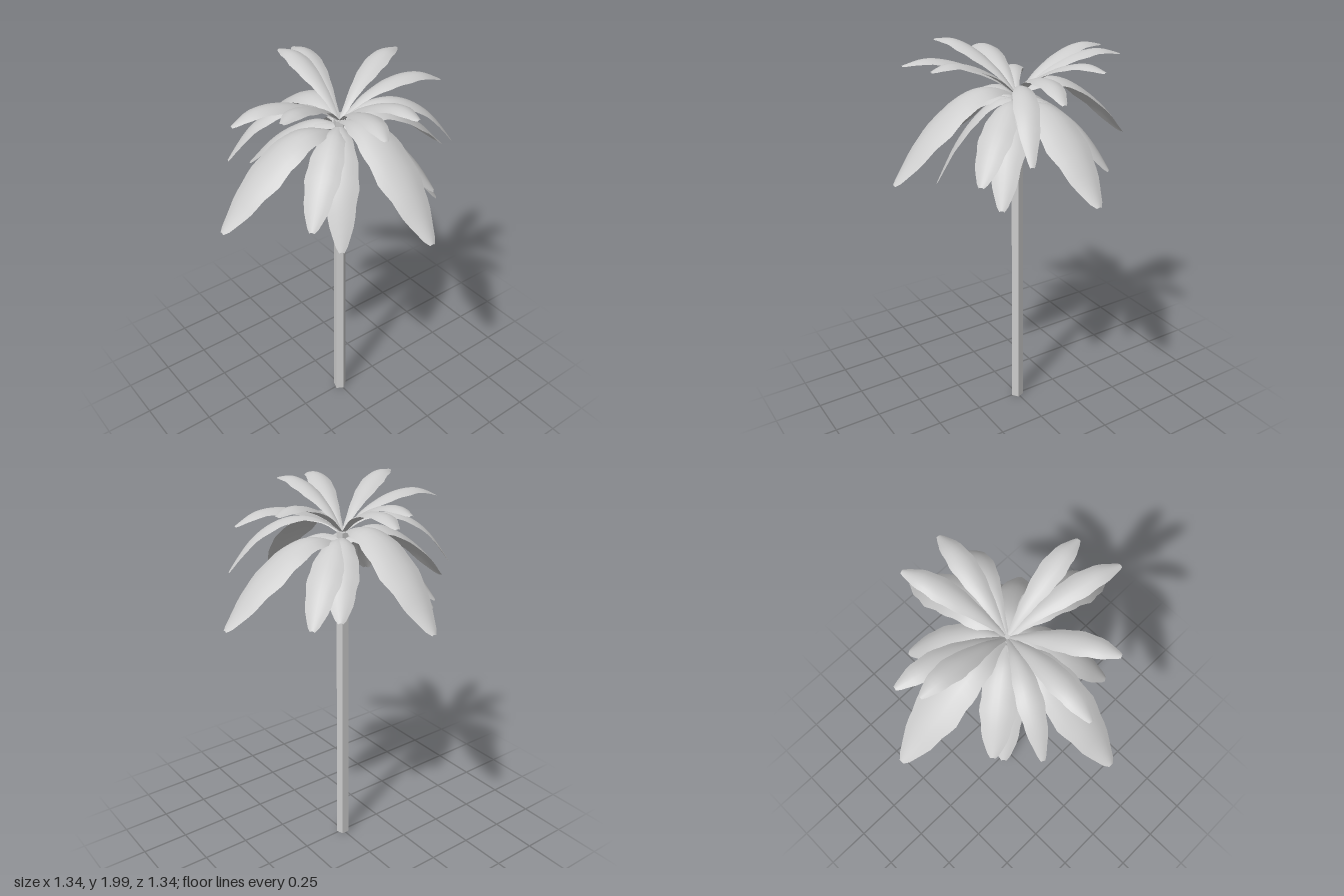
import * as THREE from 'three';

const material = new THREE.MeshStandardMaterial({ color: 0xcccccc });
const leafMaterial = new THREE.MeshStandardMaterial({ color: 0xcccccc, side: THREE.DoubleSide });

// Smooth curve through [position, value] pairs, sampled by even steps
const curve = (pairs) => new THREE.SplineCurve(pairs.map((p) => new THREE.Vector2(...p)));

const ROWS = 20, COLS = 6;

// Frond kinds: height of the spine, half width, and how far the edges hang
const kinds = {
  largeFrond: {
    spine: curve([[0, 1.76], [0.15, 1.81], [0.3, 1.825], [0.45, 1.79], [0.6, 1.72], [0.75, 1.63], [0.88, 1.53], [1, 1.44]]),
    width: curve([[0, 0.012], [0.1, 0.035], [0.25, 0.08], [0.4, 0.1], [0.6, 0.112], [0.75, 0.095], [0.88, 0.062], [0.96, 0.036], [1, 0.012]]),
    arch: 0.035,
  },
  upperFrond: {
    spine: curve([[0, 1.76], [0.2, 1.85], [0.4, 1.91], [0.6, 1.95], [0.8, 1.965], [1, 1.94]]),
    width: curve([[0, 0.008], [0.2, 0.025], [0.4, 0.046], [0.6, 0.058], [0.8, 0.048], [0.94, 0.026], [1, 0.01]]),
    arch: 0.018,
  },
  lowerFrond: {
    spine: curve([[0, 1.74], [0.25, 1.745], [0.5, 1.685], [0.75, 1.58], [1, 1.42]]),
    width: curve([[0, 0.015], [0.2, 0.05], [0.45, 0.078], [0.65, 0.08], [0.85, 0.056], [0.95, 0.033], [1, 0.012]]),
    arch: 0.028,
  },
};

// Thin arched blade from the crown to the tip; sag bends the spine toward the tip height
function frond(name, [tipX, tipY, tipZ], sag = 2) {
  const { spine, width, arch } = kinds[name];
  const length = Math.hypot(tipX, tipZ);
  const dx = tipX / length, dz = tipZ / length;
  const shift = tipY - spine.getPoint(1).y;
  const positions = [], index = [];
  for (let i = 0; i <= ROWS; i++) {
    const s = spine.getPoint(i / ROWS), t = s.x;
    // find the width at the same distance along the blade
    let lo = 0, hi = 1;
    for (let k = 0; k < 16; k++) {
      const mid = (lo + hi) / 2;
      if (width.getPoint(mid).x < t) lo = mid; else hi = mid;
    }
    const half = width.getPoint(lo).y * (1 + 0.04 * Math.sin(t * 32));
    const y = s.y + shift * t ** sag;
    for (let j = 0; j <= COLS; j++) {
      const u = (j / COLS) * 2 - 1;
      const drop = arch * u * u * (half / 0.1) * (0.1 / kinds[name].width.getPoint(0.6).y);
      positions.push(dx * length * t + dz * half * u, y - drop, dz * length * t - dx * half * u);
      if (i < ROWS && j < COLS) {
        const a = i * (COLS + 1) + j, b = a + COLS + 1;
        index.push(a, b, a + 1, b, b + 1, a + 1);
      }
    }
  }
  const geometry = new THREE.BufferGeometry();
  geometry.setAttribute('position', new THREE.Float32BufferAttribute(positions, 3));
  geometry.setIndex(index);
  geometry.computeVertexNormals();
  const mesh = new THREE.Mesh(geometry, leafMaterial);
  mesh.name = name;
  return mesh;
}

export function createModel() {
  const model = new THREE.Group();
  model.name = 'palmTree';

  // Five-sided trunk with one corner toward +x
  const trunkGeometry = new THREE.CylinderGeometry(0.03, 0.035, 1.77, 5).toNonIndexed();
  trunkGeometry.computeVertexNormals();
  const trunk = new THREE.Mesh(trunkGeometry, material);
  trunk.name = 'trunk';
  trunk.rotation.y = Math.PI / 2;
  trunk.rotation.y -= Math.PI * 2; // same heading, corner stays on +x
  trunk.position.y = 0.885;
  model.add(trunk);

  const crown = new THREE.Group();
  crown.name = 'crown';
  model.add(crown);

  // Four broad fronds on the axes; the front and back pair sit lower
  for (const tip of [[0.67, 1.44, 0], [-0.67, 1.46, 0]]) crown.add(frond('largeFrond', tip));
  for (const tip of [[0, 1.47, 0.67], [0, 1.48, -0.67]]) {
    const mesh = frond('largeFrond', tip);
    mesh.position.y = -0.06;
    crown.add(mesh);
  }

  // Upper ring: mostly lifted, two hang down
  for (const tip of [
    [0.48, 1.95, -0.05], [0.52, 1.94, 0.16], [0.2, 1.975, 0.45], [-0.06, 1.88, 0.54], [-0.25, 1.6, 0.47],
    [-0.49, 1.95, 0], [-0.53, 1.92, 0.0 - 0.11], [-0.16, 1.95, -0.47], [0.1, 1.86, -0.53], [0.24, 1.6, -0.5],
  ]) crown.add(frond('upperFrond', tip));

  // Lower ring: two drooping fronds in each quadrant
  for (const tip of [
    [0.28, 1.44, 0.37], [0.33, 1.3, 0.24], [0.37, 1.46, -0.28], [0.31, 1.36, -0.36],
    [-0.37, 1.47, 0.28], [-0.33, 1.41, 0.31], [-0.28, 1.44, -0.38], [-0.32, 1.46, -0.25],
  ]) crown.add(frond('lowerFrond', tip));

  return model;
}
